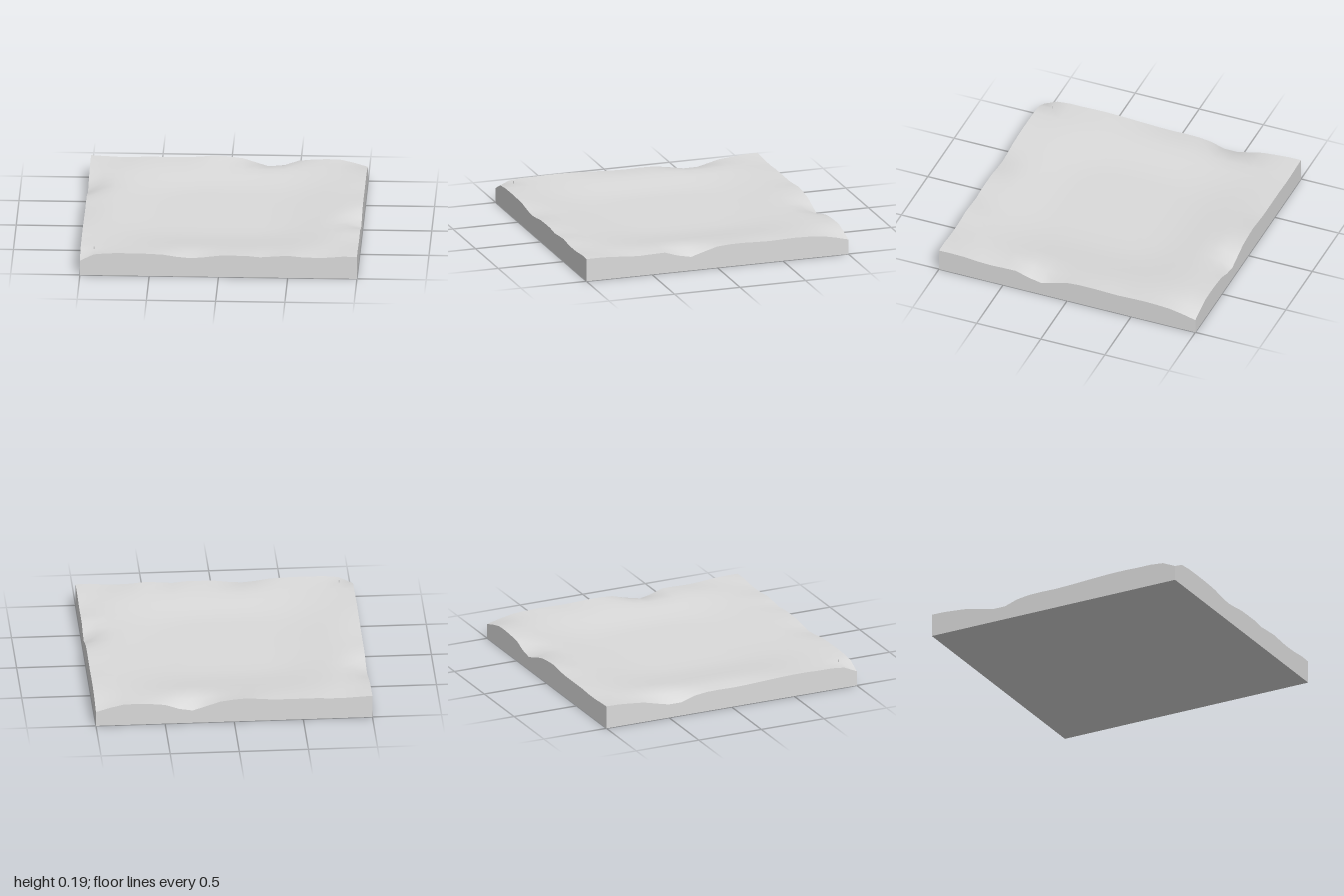
import * as THREE from 'three';

const SEGMENTS = 20;
const BASE = 0.162; // level just inside the rim
const DISH = 0.042; // how far the middle sinks below it

// Rim heights every 0.1: front/back run from x = -1 to 1, left/right from z = -1 to 1
const RIM = {
  front: [.11, .16, .17, .172, .172, .17, .165, .15, .141, .15, .163, .165, .165, .155, .163, .17, .16, .157, .16, .17, .168],
  back: [.17, .165, .16, .16, .165, .165, .165, .165, .172, .182, .175, .162, .13, .098, .115, .15, .16, .165, .163, .14, .11],
  plusX: [.11, .135, .155, .162, .165, .163, .16, .163, .167, .167, .16, .132, .102, .122, .155, .153, .15, .155, .165, .168, .168],
  minusX: [.17, .168, .16, .15, .125, .102, .102, .135, .148, .15, .148, .15, .155, .16, .165, .168, .168, .165, .165, .155, .11],
};

// Offset of a rim profile from the base level
function rim(profile, t) {
  const f = THREE.MathUtils.clamp((t + 1) * SEGMENTS / 2, 0, SEGMENTS);
  const i = Math.min(Math.floor(f), SEGMENTS - 1);
  return THREE.MathUtils.lerp(profile[i], profile[i + 1], f - i) - BASE;
}

// The rim waves fade out within two cells of the edge
const fade = (d) => Math.max(0, 1 - d / 0.22) ** 2;

function heightAt(x, z) {
  const f = fade(1 - z), b = fade(1 + z), r = fade(1 - x), l = fade(1 + x);
  const { front, back, plusX, minusX } = RIM;
  const edges = f * rim(front, x) + b * rim(back, x) + r * rim(plusX, z) + l * rim(minusX, z);
  // Corners are shared by two edges, so take one share away again
  const corners = f * (l * rim(front, -1) + r * rim(front, 1)) + b * (l * rim(back, -1) + r * rim(back, 1));
  // Shallow hollow with a flat floor and rounded-square outline
  const reach = (x ** 4 + z ** 4) ** 0.25;
  const hollow = DISH * (1 - THREE.MathUtils.smoothstep(reach, 0.4, 0.95));
  return BASE + edges - corners - hollow;
}

export function createModel() {
  const group = new THREE.Group();
  const stone = new THREE.MeshStandardMaterial({ color: 0xdadada });
  stone.name = 'light grey';

  const add = (name, geometry) => {
    const mesh = new THREE.Mesh(geometry, stone);
    mesh.name = name;
    group.add(mesh);
    return mesh;
  };

  // Hollowed top with a wavy rim
  const top = new THREE.PlaneGeometry(2, 2, SEGMENTS, SEGMENTS).rotateX(-Math.PI / 2);
  const p = top.attributes.position;
  for (let i = 0; i < p.count; i++) p.setY(i, heightAt(p.getX(i), p.getZ(i)));
  top.computeVertexNormals();
  add('topSurface', top);

  // Four upright sides whose upper edge follows the rim
  ['frontSide', 'leftSide', 'backSide', 'rightSide'].forEach((name, k) => {
    const side = new THREE.PlaneGeometry(2, 1, SEGMENTS, 1).translate(0, 0.5, 1).rotateY(k * Math.PI / 2);
    const q = side.attributes.position;
    for (let i = 0; i < q.count; i++) {
      q.setY(i, q.getY(i) > 0.5 ? heightAt(q.getX(i), q.getZ(i)) : 0);
    }
    add(name, side);
  });

  // Flat underside
  add('underside', new THREE.PlaneGeometry(2, 2).rotateX(Math.PI / 2));

  // Tiny chip standing near the front corner
  add('chip', new THREE.BoxGeometry(0.008, 0.03, 0.003)).position.set(-0.9, 0.17, 0.9);

  return group;
}
